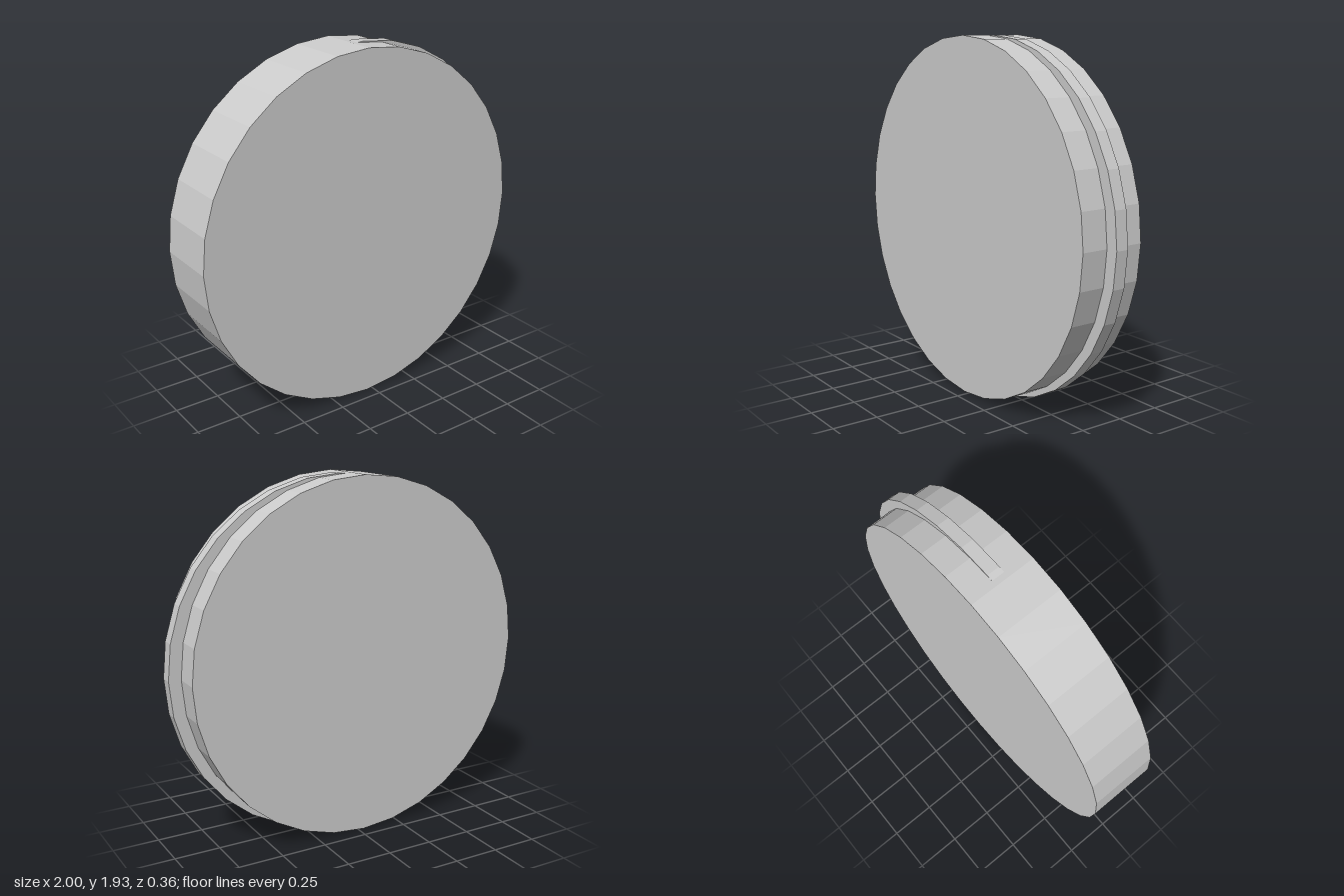
import * as THREE from 'three';

const RADIUS = 0.967;
const OFFSET = 0.033; // sideways shift of each disc from the centre

export function createModel() {
  const group = new THREE.Group();
  group.name = 'puckWithRim';
  const material = new THREE.MeshStandardMaterial({ color: 0xcccccc, flatShading: true });

  // Upright disc with its axis along z
  function addDisc(name, x, depth) {
    const geometry = new THREE.CylinderGeometry(RADIUS, RADIUS, depth, 32);
    geometry.rotateX(Math.PI / 2);
    const mesh = new THREE.Mesh(geometry, material);
    mesh.name = name;
    mesh.position.set(x, RADIUS, 0);
    group.add(mesh);
  }

  addDisc('mainDisc', -OFFSET, 0.362); // thick body
  addDisc('rimDisc', OFFSET, 0.07); // thin disc peeking out on the left side

  return group;
}
